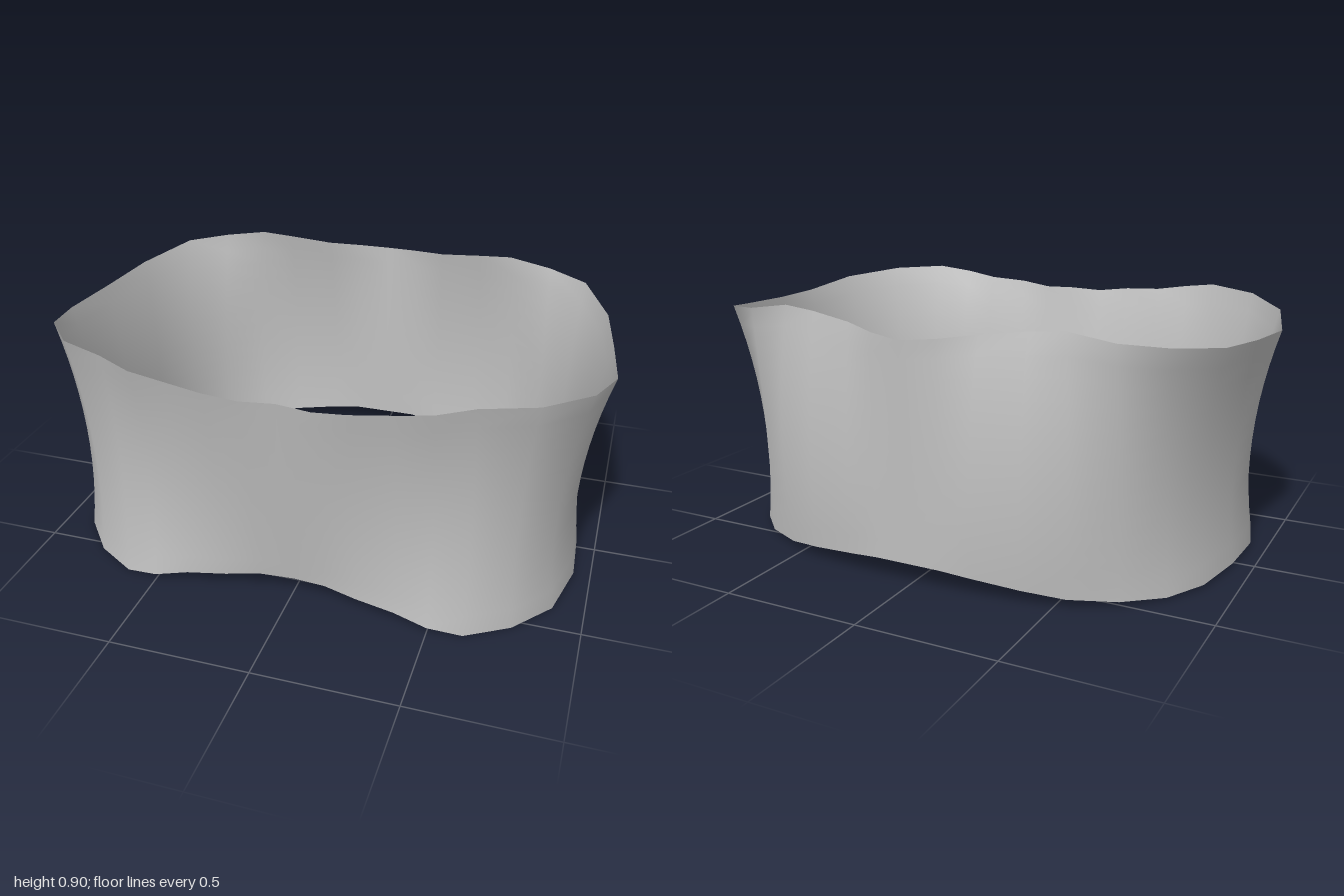
import * as THREE from 'three';

// Half outlines from front centre round the left side to back centre
const topEdge = [ // x, y, z
  [0, 0.82, 0.69], [0.12, 0.815, 0.7], [0.24, 0.83, 0.71], [0.38, 0.84, 0.69], [0.5, 0.86, 0.69],
  [0.62, 0.88, 0.65], [0.8, 0.87, 0.565], [0.945, 0.845, 0.39], [1, 0.81, 0.18], [0.97, 0.815, -0.05],
  [0.93, 0.83, -0.29], [0.825, 0.86, -0.51], [0.68, 0.875, -0.585], [0.52, 0.9, -0.595],
  [0.4, 0.89, -0.605], [0.24, 0.87, -0.63], [0.12, 0.855, -0.68], [0, 0.845, -0.71],
];
const waist = [ // x, z
  [0, 0.62], [0.12, 0.625], [0.24, 0.63], [0.38, 0.625], [0.5, 0.615], [0.62, 0.59],
  [0.76, 0.52], [0.87, 0.38], [0.918, 0.18], [0.91, -0.02], [0.87, -0.23], [0.8, -0.4],
  [0.69, -0.53], [0.55, -0.62], [0.4, -0.66], [0.23, -0.683], [0.12, -0.688], [0, -0.69],
];
const bottomEdge = [ // x, y, z
  [0, 0.06, 0.57], [0.12, 0.065, 0.585], [0.24, 0.055, 0.61], [0.38, 0.045, 0.63], [0.5, 0.02, 0.645],
  [0.62, 0, 0.625], [0.77, 0, 0.535], [0.89, 0, 0.39], [0.94, 0.01, 0.18], [0.93, 0.01, -0.03],
  [0.89, 0.01, -0.25], [0.81, 0.01, -0.4], [0.69, 0.02, -0.52], [0.54, 0.03, -0.6],
  [0.4, 0.05, -0.645], [0.23, 0.07, -0.675], [0.12, 0.08, -0.685], [0, 0.08, -0.685],
];

// Quadratic through the bottom (t = 0), waist (t = 0.4) and top (t = 1)
function curve(b, w, t, s) {
  return b * (s - 0.4) * (s - 1) / 0.4 + w * s * (s - 1) / -0.24 + t * s * (s - 0.4) / 0.6;
}

function bandGeometry(rows = 12) {
  const half = topEdge.length;
  const columns = 2 * half - 2;
  const positions = [];
  const indices = [];
  for (let r = 0; r <= rows; r++) {
    const s = r / rows;
    for (let c = 0; c < columns; c++) {
      // The second half mirrors the first
      const k = c < half ? c : columns - c;
      const side = c < half ? 1 : -1;
      const b = bottomEdge[k], w = waist[k], t = topEdge[k];
      positions.push(
        side * curve(b[0], w[0], t[0], s),
        b[1] + (t[1] - b[1]) * s,
        curve(b[2], w[1], t[2], s),
      );
      if (r < rows) {
        const n = (c + 1) % columns;
        const i = r * columns + c, j = r * columns + n;
        indices.push(i, j, j + columns, i, j + columns, i + columns);
      }
    }
  }
  const geometry = new THREE.BufferGeometry();
  geometry.setAttribute('position', new THREE.Float32BufferAttribute(positions, 3));
  geometry.setIndex(indices);
  geometry.computeVertexNormals();
  return geometry;
}

export function createModel() {
  const grey = new THREE.MeshStandardMaterial({ color: 0xc0c0c0, side: THREE.DoubleSide });
  grey.name = 'light grey';
  const model = new THREE.Group();
  model.name = 'openBand';
  // Open, thin waistband shell
  const band = new THREE.Mesh(bandGeometry(), grey);
  band.name = 'band';
  model.add(band);
  return model;
}
